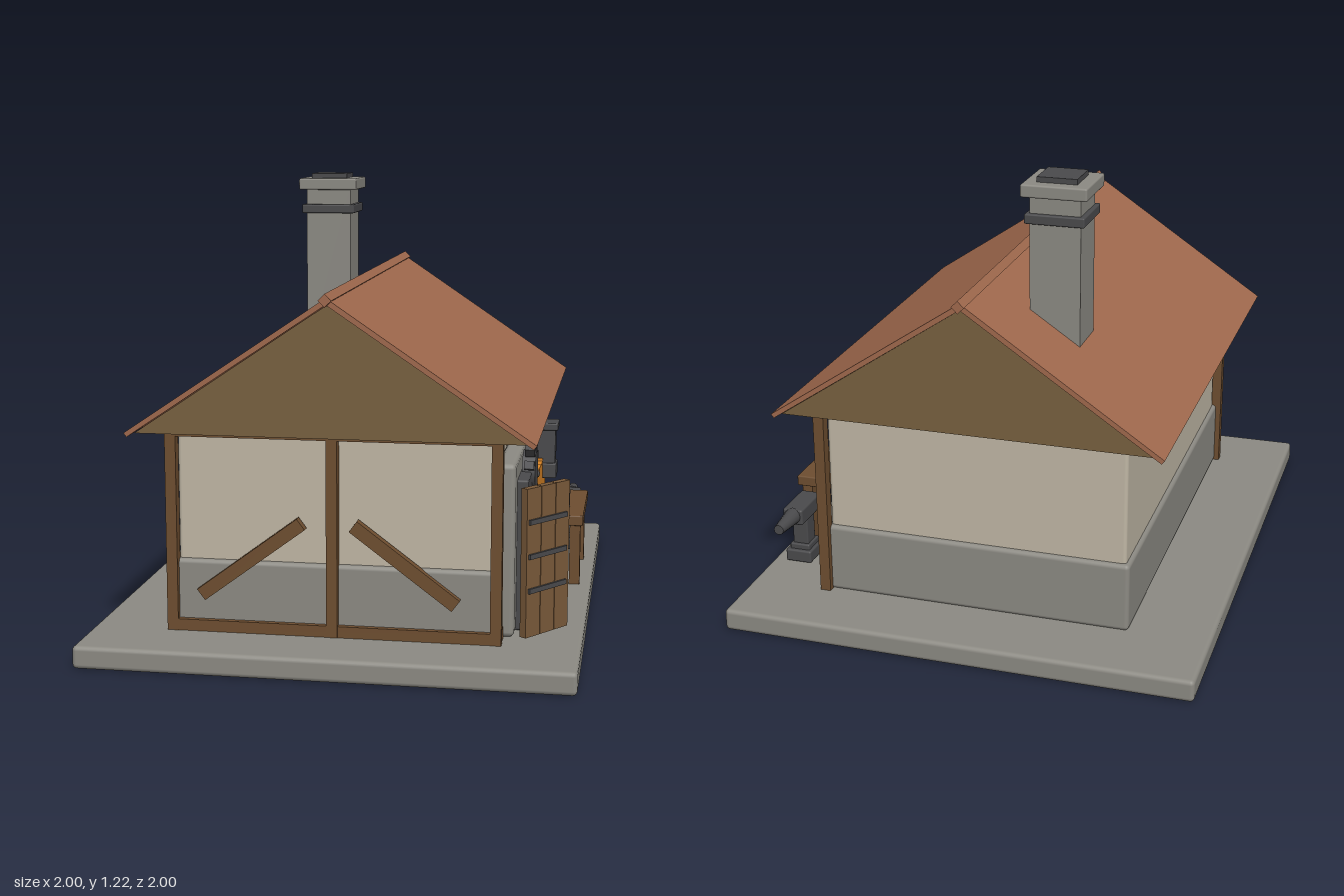
import * as THREE from 'three';
import { RoundedBoxGeometry } from 'three/addons/geometries/RoundedBoxGeometry.js';

const mat = (name, color) => Object.assign(new THREE.MeshStandardMaterial({ color }), { name });
const M = {
  stone: mat('stone', 0x8c8a83),
  plaster: mat('plaster', 0xc0b7a5),
  roof: mat('roof tile', 0xa0694d),
  gable: mat('gable board', 0x78603f),
  timber: mat('timber', 0x6e4e30),
  plank: mat('plank', 0x7a5a3a),
  iron: mat('iron', 0x4a4a4c),
  fire: mat('ember orange', 0xd98426),
};

function add(parent, name, geometry, material, x, y, z) {
  const mesh = new THREE.Mesh(geometry, material);
  mesh.name = name;
  mesh.position.set(x, y, z);
  parent.add(mesh);
  return mesh;
}

// Box from its centre x, bottom y and centre z; r rounds the edges.
function box(parent, name, material, [w, h, d], [x, y, z], r = 0) {
  const g = r ? new RoundedBoxGeometry(w, h, d, 2, r) : new THREE.BoxGeometry(w, h, d);
  return add(parent, name, g, material, x, y + h / 2, z);
}

function group(parent, name) {
  const g = new THREE.Group();
  g.name = name;
  parent.add(g);
  return g;
}

// Extrudes a gable-end outline along the length of the house.
function alongHouse(points, length) {
  const shape = new THREE.Shape(points.map(p => new THREE.Vector2(...p)));
  const g = new THREE.ExtrudeGeometry(shape, { depth: length, bevelEnabled: false });
  return g.translate(0, 0, -length / 2).rotateY(Math.PI / 2);
}

function buildHouse(root) {
  const house = group(root, 'house');
  box(house, 'baseSlab', M.stone, [1.56, 0.06, 1.276], [0, 0, 0], 0.012);
  box(house, 'plasterWalls', M.plaster, [1.14, 0.55, 0.82], [0, 0.05, 0], 0.01);
  box(house, 'stonePlinth', M.stone, [1.165, 0.19, 0.842], [0, 0.058, 0], 0.012);

  // Timber frame on the front and on the left gable end
  const frame = group(house, 'timberFrame');
  const X = 0.585, Z = 0.422, t = 0.029;
  for (const x of [-X, -X / 3, X / 3, X]) box(frame, 'frontPost', M.timber, [t, 0.54, t], [x, 0.06, Z]);
  for (const z of [0, -Z]) box(frame, 'gablePost', M.timber, [t, 0.54, t], [-X, 0.06, z]);
  for (const y of [0.06, 0.575]) {
    box(frame, 'frontRail', M.timber, [2 * X, 0.03, 0.026], [0, y, Z]);
    box(frame, 'gableRail', M.timber, [0.026, 0.03, 2 * Z], [-X, y, 0]);
  }
  [-0.39, 0, 0.39].forEach((x, i) => {
    const b = box(frame, 'frontBrace', M.timber, [0.31, 0.035, 0.026], [x, 0.235, Z + 0.004]);
    b.rotation.z = i === 1 ? 0.68 : -0.68;
  });
  for (const s of [-1, 1]) {
    const b = box(frame, 'gableBrace', M.timber, [0.026, 0.035, 0.33], [-X - 0.004, 0.24, s * 0.2 - 0.012]);
    b.rotation.x = s * 0.64;
  }

  // Roof
  const roof = group(house, 'roof');
  add(roof, 'gableBoards', alongHouse([[-0.5, 0.59], [0.5, 0.59], [0, 0.926]], 1.3), M.gable, 0, 0, 0);
  add(roof, 'roofSlopes', alongHouse([[0.524, 0.592], [0, 0.945], [-0.524, 0.592],
    [-0.516, 0.582], [0, 0.928], [0.516, 0.582]], 1.33), M.roof, 0, 0, 0);
  const ridge = box(roof, 'ridgeBeam', M.roof, [1.36, 0.024, 0.024], [0, 0.928, 0]);
  ridge.rotation.x = Math.PI / 4;

  // Chimney
  const chimney = group(house, 'chimney');
  chimney.position.set(0.373, 0, -0.179);
  box(chimney, 'chimneyShaft', M.stone, [0.134, 0.51, 0.134], [0, 0.67, 0]);
  box(chimney, 'chimneyBand', M.iron, [0.158, 0.026, 0.158], [0, 1.098, 0], 0.004);
  box(chimney, 'chimneyCap', M.stone, [0.174, 0.034, 0.174], [0, 1.168, 0], 0.005);
  box(chimney, 'chimneyFlue', M.iron, [0.106, 0.016, 0.106], [0, 1.2, 0]);
}

function buildFurnace(root) {
  const f = group(root, 'furnace');
  f.position.x = -0.305;
  box(f, 'furnaceSurround', M.stone, [0.415, 0.455, 0.05], [-0.013, 0.06, 0.437], 0.014);
  box(f, 'furnacePlate', M.iron, [0.322, 0.4, 0.035], [0, 0.063, 0.473], 0.006);
  box(f, 'emberSlot', M.fire, [0.2, 0.048, 0.03], [-0.005, 0.097, 0.488], 0.005);
  // Crown with studs
  const crown = add(f, 'furnaceCrown', new THREE.CylinderGeometry(0.055, 0.055, 0.035, 16), M.iron, 0, 0.457, 0.482);
  crown.rotation.x = Math.PI / 2;
  for (let i = 0; i < 5; i++) {
    const a = Math.PI * (0.1 + 0.2 * i);
    const k = box(f, 'crownStud', M.iron, [0.026, 0.022, 0.026], [Math.cos(a) * 0.07, 0.45 + Math.sin(a) * 0.07, 0.485]);
    k.rotation.z = a;
  }
  // Mirrored rivets and slanting ribs
  for (const s of [-1, 1]) {
    for (const [x, y] of [[0.105, 0.425], [0.085, 0.38], [0.045, 0.365], [0.03, 0.41]]) {
      add(f, 'rivet', new THREE.SphereGeometry(0.012, 10, 8), M.iron, s * x, y, 0.49);
    }
    const rib = box(f, 'plateRib', M.iron, [0.018, 0.15, 0.016], [s * 0.075, 0.17, 0.492]);
    rib.rotation.z = -s * 0.16;
  }

  // Open shutter hinged at the left
  const door = group(root, 'openShutter');
  door.position.set(-0.544, 0, 0.485);
  door.rotation.y = -0.64;
  for (let i = 0; i < 3; i++) box(door, 'shutterPlank', M.plank, [0.054, 0.39, 0.02], [0.029 + i * 0.056, 0.068, 0]);
  box(door, 'shutterCore', M.plank, [0.166, 0.384, 0.014], [0.085, 0.071, 0]);
  for (const y of [0.19, 0.28, 0.37]) box(door, 'shutterStrap', M.iron, [0.145, 0.013, 0.032], [0.082, y - 0.006, 0]);
}

function buildForge(root) {
  const f = group(root, 'forge');
  box(f, 'forgeSurround', M.stone, [0.415, 0.385, 0.05], [0.195, 0.06, 0.434], 0.014);
  [0.303, 0.312, 0.308, 0.316, 0.31].forEach((h, i) =>
    box(f, 'glowingPanel', M.fire, [0.07, h, 0.035], [0.066 + i * 0.069, 0.063, 0.463]));

  // Hanging iron hood
  const hood = group(f, 'ironHood');
  hood.position.set(0.272, 0, 0.487);
  box(hood, 'hoodTop', M.iron, [0.08, 0.022, 0.076], [0, 0.465, 0], 0.004);
  box(hood, 'hoodBody', M.iron, [0.06, 0.14, 0.06], [0, 0.335, 0], 0.004);
  box(hood, 'hoodFoot', M.iron, [0.072, 0.045, 0.068], [0, 0.32, 0], 0.004);

  // Workbench
  const bench = group(root, 'workbench');
  box(bench, 'benchTop', M.timber, [0.345, 0.03, 0.145], [0.17, 0.235, 0.54], 0.004);
  for (const x of [0.03, 0.31]) for (const z of [0.49, 0.59])
    box(bench, 'benchLeg', M.timber, [0.03, 0.178, 0.03], [x, 0.06, z]);
  box(bench, 'benchStretcher', M.timber, [0.28, 0.02, 0.02], [0.17, 0.215, 0.59]);
  const vise = group(bench, 'vise');
  vise.position.set(0.075, 0.263, 0.545);
  box(vise, 'viseBase', M.iron, [0.08, 0.035, 0.05], [0, 0, 0], 0.004);
  box(vise, 'viseJaw', M.iron, [0.035, 0.08, 0.05], [-0.012, 0, 0], 0.004);
  box(vise, 'viseFrontJaw', M.iron, [0.02, 0.055, 0.05], [0.032, 0, 0], 0.004);
}

function buildAnvil(root) {
  const a = group(root, 'anvil');
  a.position.set(0.432, 0, 0.557);
  box(a, 'anvilBase', M.iron, [0.09, 0.035, 0.075], [0, 0.065, 0], 0.005);
  box(a, 'anvilFoot', M.iron, [0.068, 0.02, 0.058], [0, 0.095, 0], 0.004);
  box(a, 'anvilWaist', M.iron, [0.05, 0.1, 0.045], [0, 0.1, 0], 0.004);
  box(a, 'anvilFace', M.iron, [0.13, 0.046, 0.058], [0.005, 0.192, 0], 0.006);
  const horn = add(a, 'anvilHorn', new THREE.CylinderGeometry(0.014, 0.024, 0.095, 12), M.iron, 0.112, 0.218, 0);
  horn.rotation.z = -Math.PI / 2;
}

export function createModel() {
  const model = new THREE.Group();
  model.name = 'smithy';
  // The whole building stands diagonally
  model.rotation.y = Math.PI / 4;
  buildHouse(model);
  buildFurnace(model);
  buildForge(model);
  buildAnvil(model);
  const root = new THREE.Group();
  root.name = 'smithyModel';
  root.add(model);
  return root;
}
